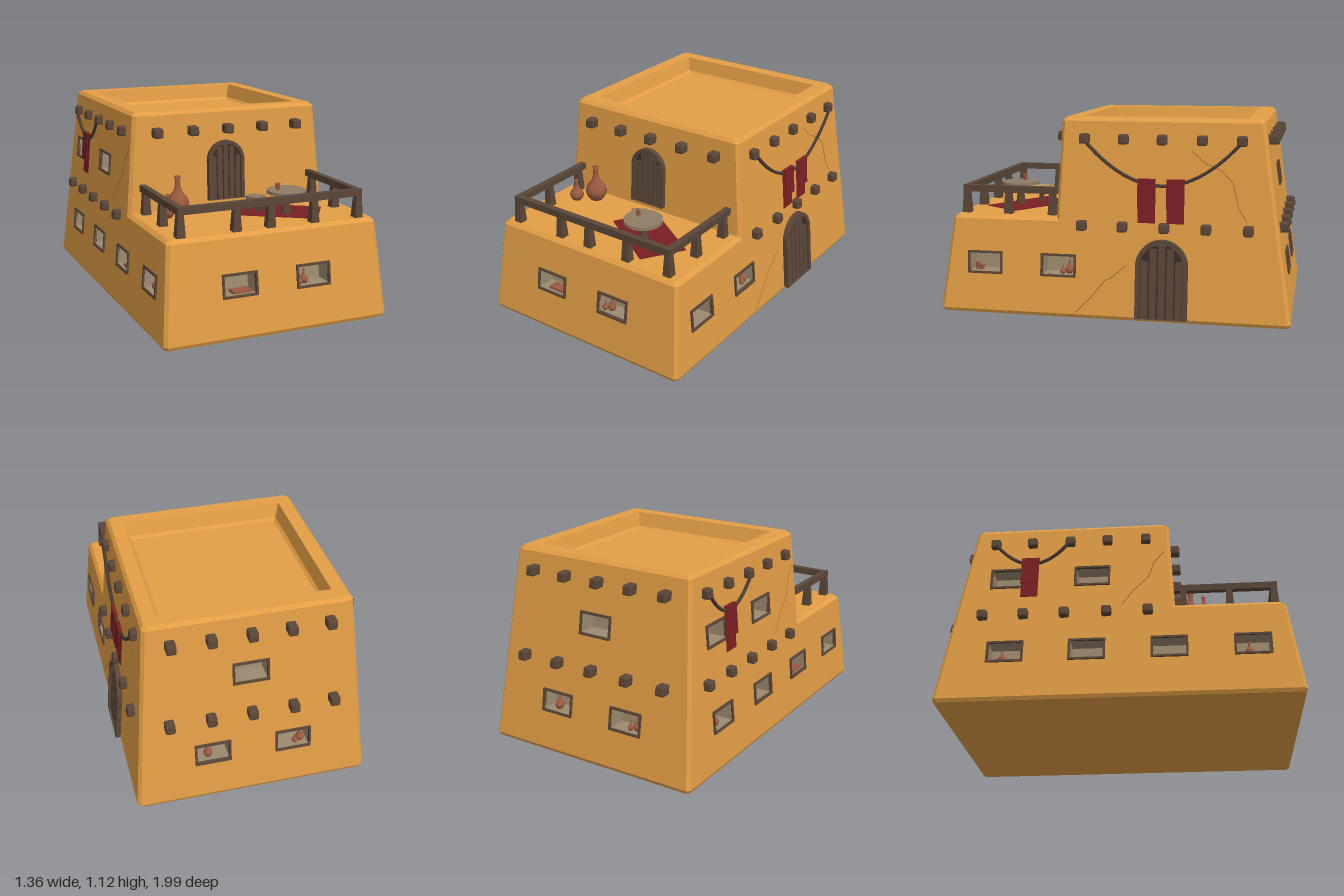
import * as THREE from 'three';
import { RoundedBoxGeometry } from 'three/addons/geometries/RoundedBoxGeometry.js';

const mat = (color, extra = {}) => new THREE.MeshStandardMaterial({ color, ...extra });
const clay = mat(0xe39e45), wood = mat(0x5a4637, { flatShading: true }), darkWood = mat(0x3a2c22), cloth = mat(0x7a1f24),
  pottery = mat(0x9a5a40), ropeMat = mat(0x4a3c34), pale = mat(0x8f7d64), crackMat = mat(0xa56b2c),
  nicheMat = mat(0x9c8a70, { side: THREE.DoubleSide });

// Battered wall positions at height y
const C = 0.018;
const sideX = y => 0.665 - 0.0875 * y;
const frontZ = y => 1 - 0.14 * y;
const backZ = y => -1 + 0.152 * y;
const upperZ = y => 0.343 - 0.05 * y;

function add(parent, name, geo, material, matrix) {
  if (matrix) geo.applyMatrix4(matrix);
  const mesh = new THREE.Mesh(geo, material);
  mesh.name = name;
  parent.add(mesh);
}
const box = (w, h, d, x, y, z) => new THREE.BoxGeometry(w, h, d).translate(x, y, z);

// Rectangle with cut corners, counterclockwise from above
function ring(y, zf, { inset = 0, zb = backZ(y) + inset, cut = C } = {}) {
  const x = sideX(y) - inset, f = zf - inset, c = cut;
  return [[x - c, f], [x, f - c], [x, zb + c], [x - c, zb], [c - x, zb], [-x, zb + c], [-x, f - c], [c - x, f]]
    .map(([px, pz]) => [px, y, pz]);
}

// Joins rings with flat quads; may close the top or bottom
function loft(rings, { edges = [0, 1, 2, 3, 4, 5, 6, 7], top = false, bottom = false } = {}) {
  const p = [];
  for (let r = 0; r + 1 < rings.length; r++) for (const i of edges) {
    const j = (i + 1) % 8, a = rings[r], b = rings[r + 1];
    p.push(...a[i], ...a[j], ...b[j], ...a[i], ...b[j], ...b[i]);
  }
  const first = rings[0], last = rings[rings.length - 1];
  for (let i = 1; i < 7; i++) {
    if (top) p.push(...last[0], ...last[i], ...last[i + 1]);
    if (bottom) p.push(...first[0], ...first[i + 1], ...first[i]);
  }
  const g = new THREE.BufferGeometry();
  g.setAttribute('position', new THREE.Float32BufferAttribute(p, 3));
  g.computeVertexNormals();
  return g;
}

// Wall frame: x along the wall, y up, z out of the leaning surface
function wallFrame(angle, base, slope) {
  const shear = new THREE.Matrix4().set(1, 0, 0, 0, 0, 1, 0, 0, 0, -slope, 1, base, 0, 0, 0, 1);
  return new THREE.Matrix4().makeRotationY(angle).multiply(shear);
}
const polygon = pts => new THREE.Shape(pts.map(([x, y]) => new THREE.Vector2(x, y)));
const rect = (x, y, w, h) => polygon([[x - w / 2, y - h / 2], [x + w / 2, y - h / 2], [x + w / 2, y + h / 2], [x - w / 2, y + h / 2]]);

function vase(r, h, x, y, z) {
  const pts = [[0, 0], [0.55, 0], [0.9, 0.15], [1, 0.28], [0.85, 0.42], [0.45, 0.58], [0.25, 0.72], [0.22, 0.9], [0.32, 1], [0, 0.98]];
  return new THREE.LatheGeometry(pts.map(([a, b]) => new THREE.Vector2(a * r, b * h)), 14).translate(x, y, z);
}

// Box without its front, turned to face inward
function recess(w, h, d, x, y) {
  const g = box(w, h, d, x, y, -d / 2), index = [...g.index.array];
  index.splice(24, 6);
  g.setIndex(index.reverse());
  const open = g.toNonIndexed();
  open.computeVertexNormals();
  return open;
}

// Framed recess with pottery on its sill
const NW = 0.18, NH = 0.105;
function windowNiche(parent, M, { x, y, kind, shift = 0 }) {
  const floor = y - NH / 2, z = -0.045;
  add(parent, 'windowNiche', recess(NW, NH, 0.1, x, y), nicheMat, M);
  const frame = rect(x, y, NW + 0.024, NH + 0.024);
  frame.holes.push(rect(x, y, NW, NH));
  add(parent, 'windowFrame', new THREE.ExtrudeGeometry(frame, { depth: 0.018, bevelEnabled: false }).translate(0, 0, -0.008), wood, M);
  if (kind === 'vases') {
    add(parent, 'smallVase', vase(0.024, 0.075, x - 0.035 + shift, floor, z), pottery, M);
    add(parent, 'smallVase', vase(0.017, 0.05, x - 0.07 + shift, floor, z + 0.015), pottery, M);
  } else if (kind === 'vase') add(parent, 'smallVase', vase(0.026, 0.08, x - 0.02, floor, z), pottery, M);
  else if (kind === 'tray') add(parent, 'tray', box(0.11, 0.014, 0.06, x + 0.02, floor + 0.007, z), pottery, M);
  else if (kind === 'cups') for (const [d, s] of [[-0.06, 0.04], [-0.035, 0.028]])
    add(parent, 'cup', new THREE.CylinderGeometry(0.014, 0.011, s, 10).translate(x + d, floor + s / 2, z), pottery, M);
}

function archShape(w, h) {
  const r = w / 2, s = new THREE.Shape();
  s.moveTo(-r, 0).lineTo(r, 0).lineTo(r, h - r).absarc(0, h - r, r, 0, Math.PI, false);
  return s.lineTo(-r, 0);
}

// Plank door under a round-headed frame
function door(parent, M, x, y, s) {
  const place = g => g.scale(s, s, 1).translate(x, y, 0);
  const frame = archShape(0.29, 0.44);
  frame.holes.push(archShape(0.24, 0.415));
  const depth = d => ({ depth: d, bevelEnabled: false, curveSegments: 10 });
  add(parent, 'doorFrame', place(new THREE.ExtrudeGeometry(frame, depth(0.03))), wood, M);
  add(parent, 'doorBacking', place(new THREE.ExtrudeGeometry(archShape(0.245, 0.417), depth(0.006))), darkWood, M);
  for (let i = -2; i <= 2; i++) {
    const px = i * 0.048, h = 0.29 + Math.sqrt(0.12 ** 2 - (Math.abs(px) + 0.02) ** 2);
    add(parent, 'doorPlank', place(box(0.038, h, 0.014, px, h / 2, 0.011)), wood, M);
  }
}

function beams(parent, M, y, xs, reach) {
  for (const x of xs) add(parent, 'roofBeam', new RoundedBoxGeometry(0.055, 0.055, 0.1, 1, 0.01).translate(x, y, reach - 0.05), wood, M);
}

// Sagging rope with cloths folded over it
function clothesline(parent, M, x0, x1, low, cloths, top, length) {
  const curve = new THREE.QuadraticBezierCurve3(new THREE.Vector3(x0, 1, 0.03), new THREE.Vector3((x0 + x1) / 2, 2 * low - 1, 0), new THREE.Vector3(x1, 1, 0.03));
  add(parent, 'rope', new THREE.TubeGeometry(curve, 28, 0.01, 6), ropeMat, M);
  for (const x of cloths) {
    add(parent, 'clothFront', box(0.1, length * 0.67, 0.005, x, top - length * 0.335, 0.028), cloth, M);
    add(parent, 'clothBack', box(0.096, length, 0.005, x, top - length / 2, 0.012), cloth, M);
    add(parent, 'clothFold', box(0.1, 0.005, 0.021, x, top, 0.02), cloth, M);
  }
}

function crack(parent, M, pts) {
  const path = new THREE.CurvePath();
  for (let i = 0; i + 1 < pts.length; i++)
    path.add(new THREE.LineCurve3(new THREE.Vector3(...pts[i], 0), new THREE.Vector3(...pts[i + 1], 0)));
  add(parent, 'wallCrack', new THREE.TubeGeometry(path, 24, 0.002, 4), crackMat, M);
}

function wall(parent, name, M, pts, windows = []) {
  const g = new THREE.Group();
  g.name = name;
  parent.add(g);
  const s = polygon(pts);
  for (const n of windows) s.holes.push(rect(n.x, n.y, NW, NH));
  add(g, 'wallSurface', new THREE.ShapeGeometry(s), clay, M);
  windows.forEach(n => windowNiche(g, M, n));
  return g;
}

export function createModel() {
  const model = new THREE.Group();
  model.name = 'adobeHouse';
  const house = new THREE.Group();
  house.name = 'house';
  house.position.x = -0.013;
  model.add(house);

  // Base, cut corners, terrace floor and sunken roof
  const B = 0.02, T = 0.54, R = 1.1;
  add(house, 'base', loft([ring(0, 1, { inset: 0.012 }), ring(B, frontZ(B))], { bottom: true }), clay);
  add(house, 'frontCorners', loft([ring(B, frontZ(B)), ring(T, frontZ(T))], { edges: [0, 6] }), clay);
  add(house, 'backCorners', loft([ring(B, 1), ring(R, 1)], { edges: [2, 4] }), clay);
  add(house, 'upperCorners', loft([ring(T, upperZ(T)), ring(R, upperZ(R))], { edges: [0, 6] }), clay);
  add(house, 'terrace', loft([ring(T, frontZ(T), { zb: 0.2 }), ring(0.56, frontZ(0.56), { inset: 0.018, zb: 0.2 })], { top: true }), clay);
  add(house, 'roof', loft([ring(R, upperZ(R)), ring(1.12, upperZ(1.12), { inset: 0.016 }), ring(1.12, upperZ(1.12), { inset: 0.093, cut: 0.003 }),
    ring(1.037, upperZ(1.037), { inset: 0.122, cut: 0.003 }), ring(1.022, upperZ(1.022), { inset: 0.14, cut: 0.003 })], { top: true }), clay);

  // Walls
  const band = (y0, y1) => [[C - sideX(y0), y0], [sideX(y0) - C, y0], [sideX(y1) - C, y1], [C - sideX(y1), y1]];
  const F = wallFrame(0, 1, 0.14), U = wallFrame(0, 0.343, 0.05), K = wallFrame(Math.PI, 1, 0.152);
  const profile = sign => [[frontZ(B) - C, B], [backZ(B) + C, B], [backZ(R) + C, R], [upperZ(R) - C, R], [upperZ(T) - C, T], [frontZ(T) - C, T]]
    .map(([z, y]) => [sign * z, y]);
  const low = 0.293, high = 0.77;
  wall(house, 'frontWall', F, band(B, T), [{ x: -0.225, y: low, kind: 'tray' }, { x: 0.21, y: low, kind: 'vases' }]);
  const upper = wall(house, 'upperFrontWall', U, band(T, R));
  door(upper, U, -0.02, 0.595, 0.777);
  beams(upper, U, 1.005, [-0.435, -0.22, -0.005, 0.213, 0.43], 0.052);
  const back = wall(house, 'backWall', K, band(B, R),
    [{ x: -0.225, y: low, kind: 'vase' }, { x: 0.235, y: low, kind: 'vases', shift: 0.09 }, { x: 0, y: high }]);
  beams(back, K, 1.005, [-0.43, -0.213, 0.005, 0.22, 0.435], 0.056);
  beams(back, K, 0.525, [-0.46, -0.23, 0, 0.235, 0.465], 0.053);

  for (const s of [-1, 1]) {
    const M = wallFrame(s * Math.PI / 2, 0.665, 0.0875), right = s > 0;
    const windows = right
      ? [{ x: -0.73, y: low, kind: 'cups' }, { x: -0.3, y: low, kind: 'vases', shift: 0.09 }]
      : [{ x: 0.73, y: low, kind: 'vase' }, { x: 0.28, y: low, kind: 'tray' }, { x: -0.17, y: low },
        { x: -0.62, y: low, kind: 'vase' }, { x: -0.63, y: high }, { x: -0.15, y: high }];
    const g = wall(house, right ? 'rightSideWall' : 'leftSideWall', M, profile(-s), windows);
    beams(g, M, 1.005, [0.155, -0.065, -0.28, -0.5, -0.715].map(z => -s * z), 0.038);
    beams(g, M, 0.525, [0.165, -0.065, -0.3, -0.53, -0.76].map(z => -s * z), 0.042);
    if (right) {
      door(g, M, 0.29, 0.02, 1);
      clothesline(g, M, -0.155, 0.715, 0.755, [0.2, 0.36], 0.79, 0.24);
      crack(g, M, [[-0.2, 0.03], [-0.14, 0.09], [-0.11, 0.12], [-0.03, 0.22], [0.01, 0.24], [0.09, 0.31]]);
      crack(g, M, [[0.44, 0.95], [0.52, 0.88], [0.6, 0.85], [0.67, 0.78], [0.7, 0.65], [0.75, 0.57]]);
    } else {
      clothesline(g, M, -0.715, -0.28, 0.86, [-0.505], 0.89, 0.25);
      crack(g, M, [[0.26, 0.92], [0.2, 0.85], [0.17, 0.75], [0.08, 0.66], [0.02, 0.57]]);
    }
  }

  // Terrace railing with tapered posts
  const railing = new THREE.Group();
  railing.name = 'railing';
  house.add(railing);
  const posts = [[-0.527, 0.87], [-0.21, 0.87], [-0.01, 0.87], [0.253, 0.87], [0.527, 0.87]];
  add(railing, 'frontRail', box(1.09, 0.04, 0.035, 0, 0.7, 0.87), wood);
  for (const s of [-1, 1]) {
    add(railing, 'sideRail', box(0.035, 0.038, 0.56, s * 0.527, 0.7, 0.585), wood);
    posts.push([s * 0.527, 0.62], [s * 0.527, 0.36]);
  }
  for (const [x, z] of posts)
    add(railing, 'railPost', new THREE.CylinderGeometry(0.024, 0.035, 0.13, 4).rotateY(Math.PI / 4).translate(x, 0.62, z), wood);

  // Terrace furnishings
  const set = new THREE.Group();
  set.name = 'terraceFurnishings';
  model.add(set);
  add(set, 'largePot', vase(0.065, 0.21, -0.365, 0.56, 0.4), pottery);
  add(set, 'smallPot', vase(0.042, 0.13, -0.455, 0.56, 0.475), pottery);
  add(set, 'rug', new THREE.BoxGeometry(0.466, 0.005, 0.265).rotateY(-0.58).translate(0.17, 0.562, 0.59), cloth);
  add(set, 'tableTop', new THREE.CylinderGeometry(0.11, 0.11, 0.018, 24).translate(0.185, 0.69, 0.655), pale);
  add(set, 'tableLeg', new THREE.CylinderGeometry(0.016, 0.03, 0.12, 8).translate(0.185, 0.624, 0.655), wood);
  add(set, 'cup', new THREE.CylinderGeometry(0.014, 0.011, 0.038, 10).translate(0.14, 0.718, 0.64), pottery);
  const stool = new THREE.Group();
  stool.name = 'stool';
  stool.position.set(0.055, 0.565, 0.53);
  stool.rotation.y = 0.55;
  set.add(stool);
  add(stool, 'stoolSeat', box(0.085, 0.012, 0.085, 0, 0.079, 0), pale);
  for (const x of [-0.032, 0, 0.032]) for (const z of [-0.032, 0.032])
    add(stool, 'stoolLeg', box(0.012, 0.075, 0.012, x, 0.037, z), wood);
  return model;
}
